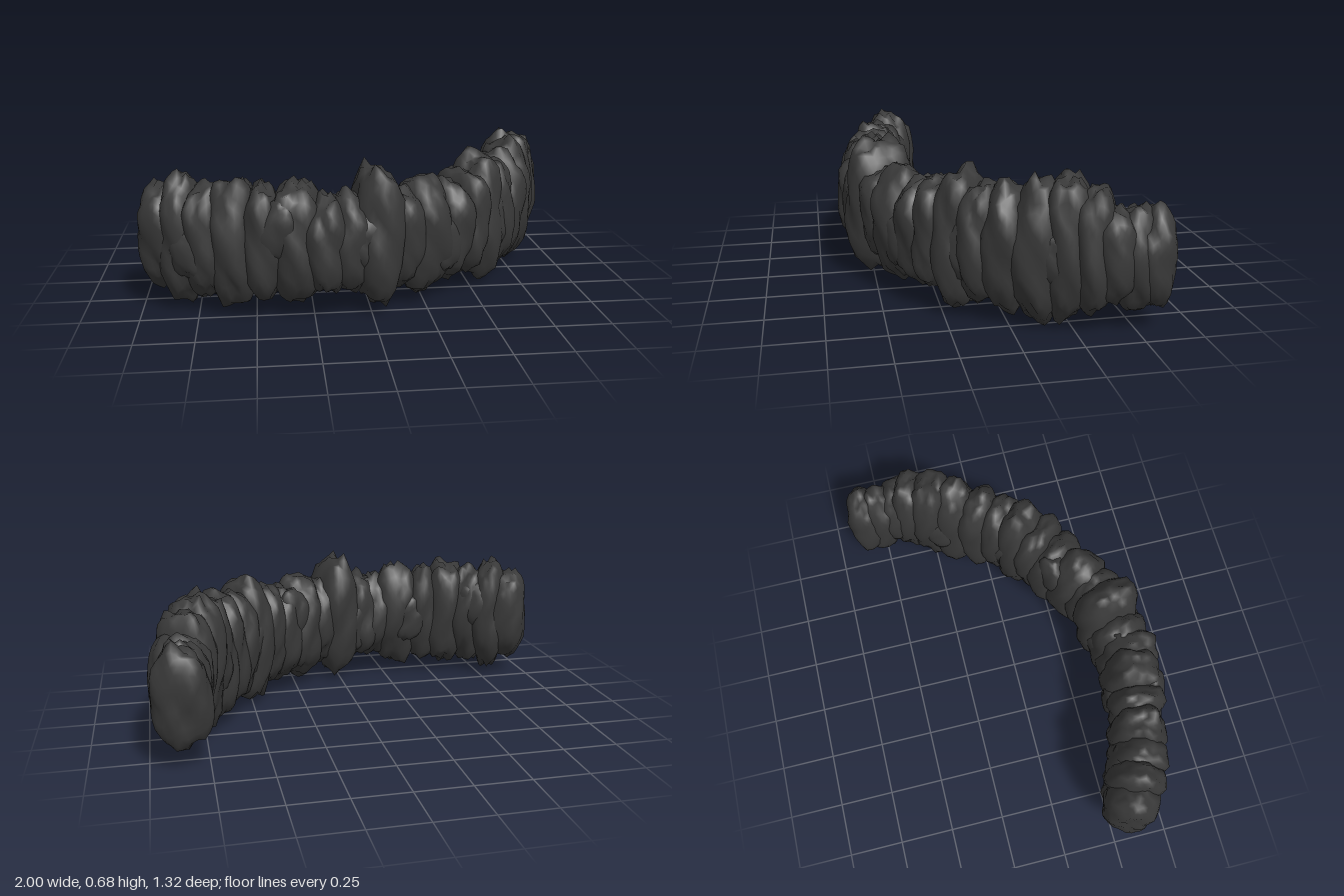
import * as THREE from 'three';
import { mergeVertices } from 'three/addons/utils/BufferGeometryUtils.js';

// Seeded random numbers
function seeded(seed) {
  let s = seed;
  return () => {
    s = (s * 16807) % 2147483647;
    return s / 2147483647;
  };
}

// Jagged boulder: a slightly squared sphere with soft lumps and a spiky top and bottom,
// sized to the given half extents
function boulderGeometry(along, height, across, rand) {
  let g = new THREE.IcosahedronGeometry(1, 5);
  g.deleteAttribute('normal');
  g.deleteAttribute('uv');
  g = mergeVertices(g, 1e-4);
  const p = g.attributes.position;
  const v = new THREE.Vector3();
  const ph = [0, 1, 2, 3].map(() => rand() * Math.PI * 2);
  for (let i = 0; i < p.count; i++) {
    v.fromBufferAttribute(p, i);
    const square = (Math.abs(v.x) ** 2.5 + Math.abs(v.y) ** 2.5 + Math.abs(v.z) ** 2.5) ** (-1 / 2.5);
    const lump = 0.05 * Math.sin(3.1 * v.x + 4.2 * v.y + ph[0]) + 0.04 * Math.sin(5.3 * v.z - 3.7 * v.y + ph[1])
      + 0.04 * Math.sin(8 * v.y + 6 * v.x + ph[2]) * Math.cos(7 * v.z + ph[3]);
    const spike = 0.17 * (rand() - 0.5) * (1 - v.x * v.x) * Math.abs(v.y);
    v.multiplyScalar(square * (1 + lump));
    p.setXYZ(i, v.x * (1 + 0.1 * (rand() - 0.5)), v.y * (1 + spike), v.z);
  }
  g.center();
  const half = g.boundingBox.getSize(new THREE.Vector3()).multiplyScalar(0.5);
  g.scale(along / half.x, height / half.y, across / half.z);
  g.computeVertexNormals();
  return g;
}

export function createModel() {
  const wall = new THREE.Group();
  wall.name = 'curvedStoneWall';
  const stone = new THREE.MeshStandardMaterial({ color: 0x383838 });
  stone.name = 'dark stone';
  const rand = seeded(4217);

  // Boulders along the wall: x, z, top, bottom, half length, half depth
  const boulders = [
    [-0.885, 0.32, 0.58, 0.08, 0.115, 0.125], [-0.80, 0.36, 0.635, 0.02, 0.10, 0.14],
    [-0.70, 0.405, 0.60, 0.06, 0.10, 0.14], [-0.585, 0.44, 0.62, 0.035, 0.11, 0.14],
    [-0.46, 0.47, 0.60, 0.07, 0.10, 0.135], [-0.32, 0.488, 0.615, 0.045, 0.12, 0.145],
    [-0.20, 0.507, 0.56, 0.09, 0.10, 0.147], [-0.11, 0.49, 0.58, 0.09, 0.10, 0.14],
    [0.02, 0.465, 0.675, 0.015, 0.13, 0.165], [0.13, 0.43, 0.56, 0.09, 0.10, 0.14],
    [0.24, 0.375, 0.59, 0.03, 0.12, 0.15], [0.36, 0.30, 0.56, 0.06, 0.11, 0.15],
    [0.44, 0.235, 0.585, 0.07, 0.10, 0.15], [0.52, 0.165, 0.65, 0.015, 0.11, 0.15],
    [0.60, 0.08, 0.60, 0.06, 0.10, 0.15], [0.67, -0.01, 0.62, 0.03, 0.11, 0.15],
    [0.73, -0.12, 0.66, 0.00, 0.12, 0.15], [0.78, -0.24, 0.66, 0.02, 0.11, 0.145],
    [0.83, -0.33, 0.61, 0.07, 0.09, 0.145], [0.85, -0.40, 0.54, 0.11, 0.10, 0.14],
    [0.85, -0.49, 0.54, 0.08, 0.09, 0.125], [0.855, -0.565, 0.55, 0.08, 0.09, 0.13],
  ];

  boulders.forEach(([x, z, top, bottom, along, across], i) => {
    const a = boulders[Math.max(i - 1, 0)], b = boulders[Math.min(i + 1, boulders.length - 1)];
    const yaw = Math.atan2(a[1] - b[1], b[0] - a[0]);
    const boulder = new THREE.Mesh(boulderGeometry(along, (top - bottom) / 2, across, rand), stone);
    boulder.name = `boulder${i + 1}`;
    boulder.position.set(x, (top + bottom) / 2, z);
    boulder.rotation.y = yaw + (rand() - 0.5) * 0.16;
    wall.add(boulder);

    // Smaller rocks wedged into both faces of the wall
    if (i % 3 === 1 && i < 18) {
      for (const side of [-1, 1]) {
        const rock = new THREE.Mesh(boulderGeometry(0.09, 0.14, 0.07, rand), stone);
        rock.name = `wedgeRock${i}${side > 0 ? 'Front' : 'Back'}`;
        const off = side * 0.07;
        rock.position.set((x + b[0]) / 2 + Math.sin(yaw) * off, 0.22 + 0.2 * rand(), (z + b[1]) / 2 + Math.cos(yaw) * off);
        rock.rotation.set(0, yaw, (rand() - 0.5) * 0.6);
        wall.add(rock);
      }
    }
  });
  return wall;
}
